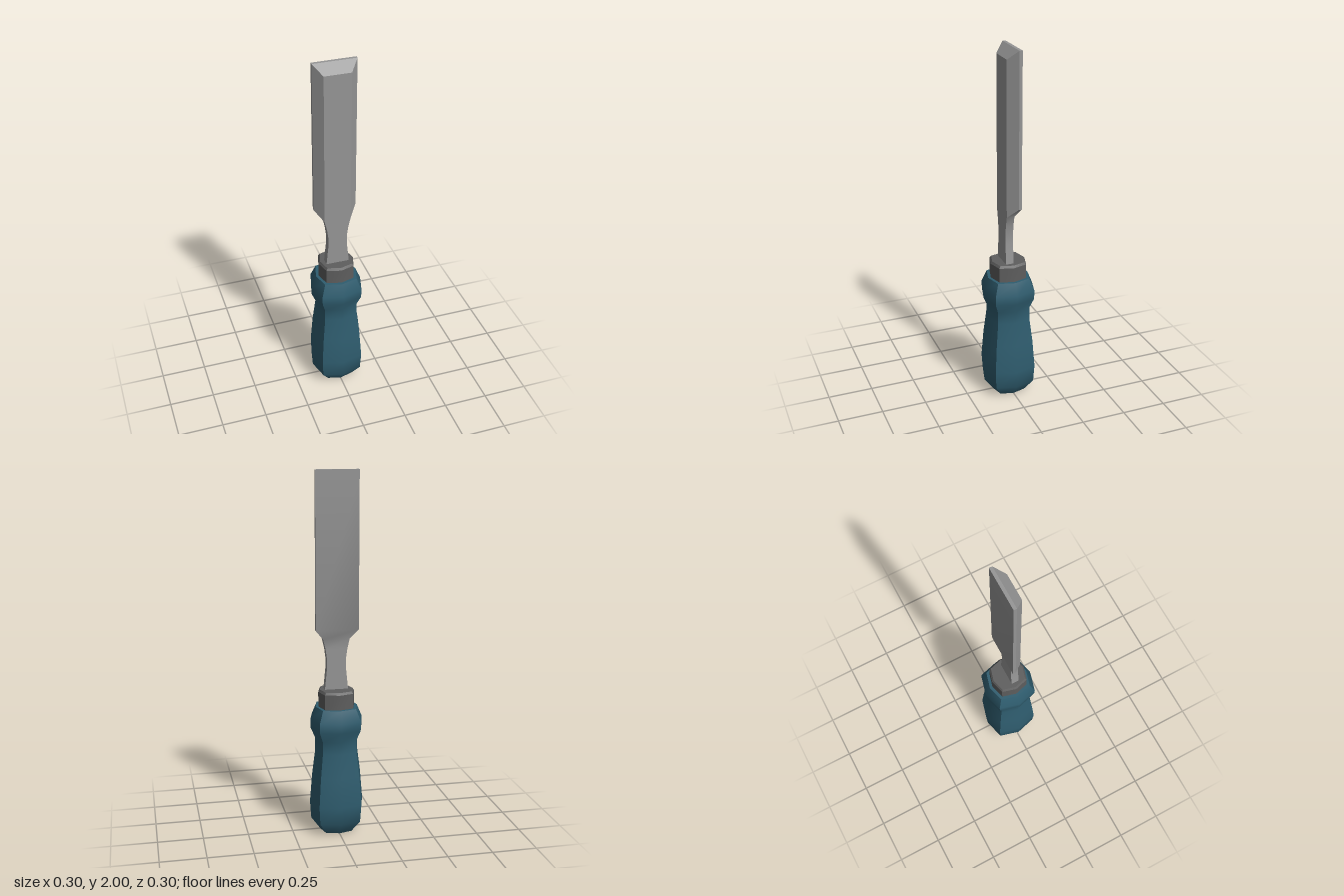
import * as THREE from 'three';
import { toCreasedNormals } from 'three/addons/utils/BufferGeometryUtils.js';

// Skins a stack of equal-length rings (ordered +z towards +x) and caps both ends.
function loft(rings, crease) {
  const n = rings[0].length;
  const index = [];
  for (let r = 0; r < rings.length - 1; r++) {
    for (let i = 0; i < n; i++) {
      const j = (i + 1) % n;
      const a = r * n + i, b = r * n + j, c = b + n, d = a + n;
      index.push(a, b, c, a, c, d);
    }
  }
  const top = (rings.length - 1) * n;
  for (let i = 1; i < n - 1; i++) {
    index.push(0, i + 1, i);
    index.push(top, top + i, top + i + 1);
  }
  const geometry = new THREE.BufferGeometry();
  geometry.setAttribute('position', new THREE.Float32BufferAttribute(rings.flat(2), 3));
  geometry.setIndex(index);
  return toCreasedNormals(geometry, crease);
}

// Square with gently bowed sides: axis points at r, corners at r * corner.
function bowedSquare(r, y, corner) {
  const c = r * corner;
  return [[0, y, r], [c, y, c], [r, y, 0], [c, y, -c],
    [0, y, -r], [-c, y, -c], [-r, y, 0], [-c, y, c]];
}

// Mirrored six-point blade section, given as front, side and back (x, z) points.
function bladeSection(y, [fx, fz], [sx, sz], [bx, bz]) {
  return [[-fx, y, fz], [fx, y, fz], [sx, y, sz],
    [bx, y, bz], [-bx, y, bz], [-sx, y, sz]];
}

export function createModel() {
  const model = new THREE.Group();
  model.name = 'chisel';
  const handlePaint = new THREE.MeshStandardMaterial({ name: 'blue handle', color: 0x2f5d6f });
  const darkSteel = new THREE.MeshStandardMaterial({ name: 'dark steel', color: 0x5e5e5e });
  const steel = new THREE.MeshStandardMaterial({ name: 'steel', color: 0x969696 });

  const add = (name, geometry, material) => {
    const mesh = new THREE.Mesh(geometry, material);
    mesh.name = name;
    model.add(mesh);
  };

  // Handle: swollen grip, waist and collar
  const handleProfile = [[0.092, 0], [0.143, 0.07], [0.15, 0.17], [0.137, 0.33], [0.119, 0.47],
    [0.118, 0.54], [0.143, 0.6], [0.145, 0.65], [0.116, 0.72]];
  add('handle', loft(handleProfile.map(([r, y]) => bowedSquare(r, y, 0.787)), 0.8), handlePaint);

  // Ferrule with a small chamfer on top
  const ferruleProfile = [[0.1, 0.71], [0.1, 0.803], [0.091, 0.815]];
  add('ferrule', loft(ferruleProfile.map(([r, y]) => bowedSquare(r, y, 0.78)), 0.55), darkSteel);

  // Blade: curved neck, shoulders, bevelled flanks and ground tip
  const neck = [[0.066, 0.8], [0.059, 0.87], [0.053, 0.93], [0.052, 0.98], [0.06, 1.04], [0.073, 1.095]];
  const sections = neck.map(([x, y]) => bladeSection(y, [x, 0.034], [x, 0.033], [x, -0.01]));
  const side = [0.118, -0.017], back = [0.118, -0.034];
  sections.push(
    bladeSection(1.15, [0.073, 0.034], side, back),
    bladeSection(1.95, [0.073, 0.034], side, back),
    bladeSection(2, side, side, back),
  );
  add('blade', loft(sections, 0.5), steel);

  return model;
}
